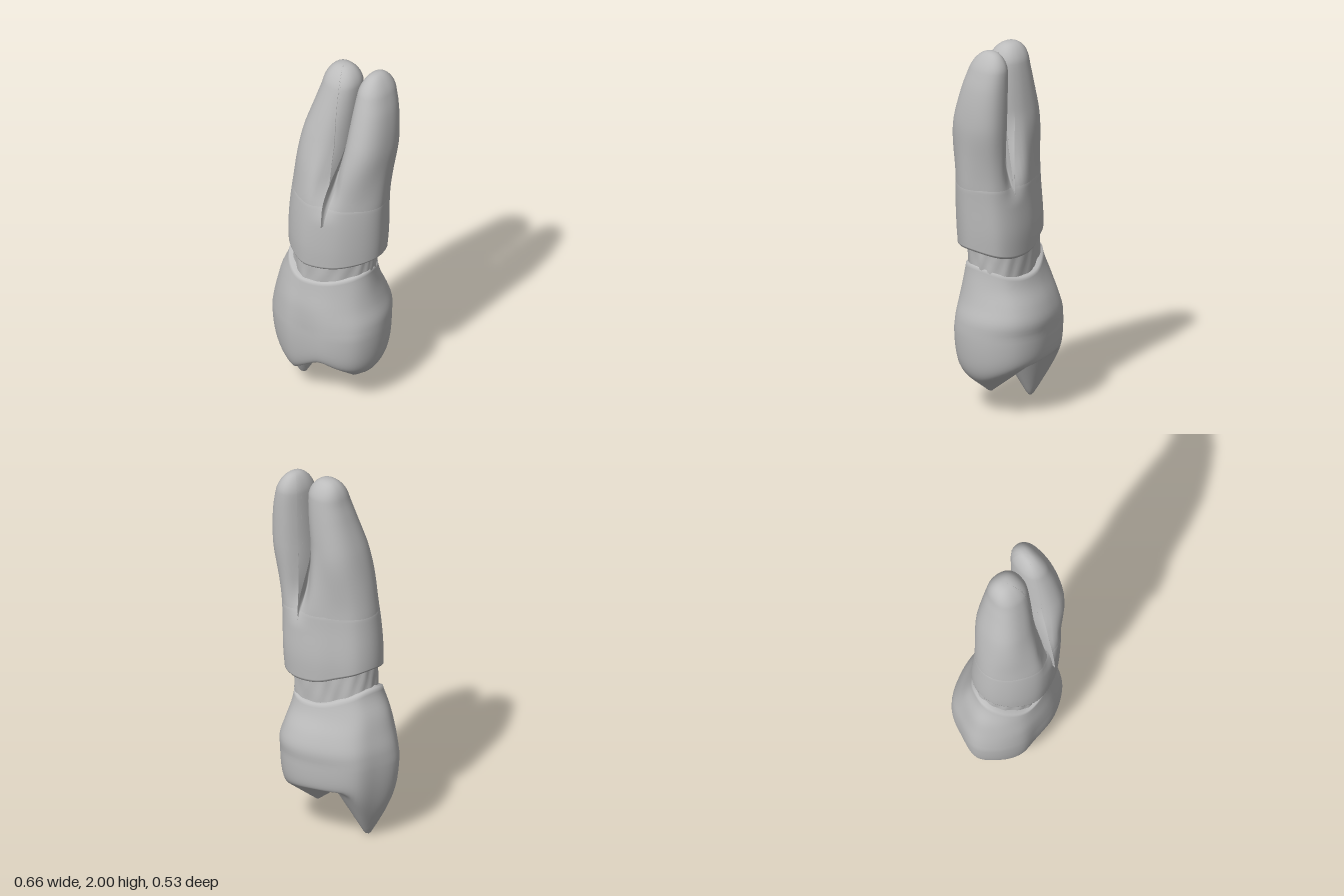
import * as THREE from 'three';

const SEG = 80;
const { lerp, smoothstep } = THREE.MathUtils;

// Closed smooth outline, normalised to -1..1 on both axes
function outline(points) {
  const curve = new THREE.CatmullRomCurve3(points.map(([x, z]) => new THREE.Vector3(x, 0, z)), true);
  const pts = Array.from({ length: SEG }, (_, j) => curve.getPoint(j / SEG));
  const box = new THREE.Box3().setFromPoints(pts);
  const c = box.getCenter(new THREE.Vector3());
  const s = box.getSize(new THREE.Vector3()).multiplyScalar(0.5);
  return pts.map((p) => [(p.x - c.x) / s.x, (p.z - c.z) / s.z]);
}

// Rows of [y, xMin, xMax, zMin, zMax] become smooth centre and half sizes at any y
function sections(rows) {
  const spline = new THREE.CubicInterpolant(rows.map((r) => r[0]), rows.flatMap((r) => r.slice(1)), 4);
  return (y) => {
    const [a, b, c, d] = spline.evaluate(y);
    return { cx: (a + b) / 2, cz: (c + d) / 2, rx: (b - a) / 2, rz: (d - c) / 2 };
  };
}

// Skin over closed rings listed from the bottom up
function loft(name, rings, material) {
  const index = [];
  for (let i = 0; i < rings.length - 1; i++) {
    for (let j = 0; j < SEG; j++) {
      const k = (j + 1) % SEG;
      const a = i * SEG + j, b = i * SEG + k, c = a + SEG, d = b + SEG;
      index.push(a, c, b, b, c, d);
    }
  }
  const geo = new THREE.BufferGeometry();
  geo.setAttribute('position', new THREE.Float32BufferAttribute(rings.flat(2), 3));
  geo.setIndex(index);
  geo.computeVertexNormals();
  const mesh = new THREE.Mesh(geo, material);
  mesh.name = name;
  return mesh;
}

const smin = (a, b, k) => {
  const h = Math.max(k - Math.abs(a - b), 0) / k;
  return Math.min(a, b) - h * h * k * 0.25;
};
const smax = (a, b, k) => -smin(-a, -b, k);

const crownShape = outline([
  [0.285, 0], [0.25, 0.13], [0.13, 0.22], [-0.02, 0.25], [-0.12, 0.262], [-0.25, 0.21], [-0.33, 0.12],
  [-0.315, -0.02], [-0.275, -0.135], [-0.12, -0.23], [0.04, -0.265], [0.16, -0.235], [0.25, -0.14],
]);
const rootShape = outline([
  [0.33, 0], [0.3, 0.09], [0.2, 0.2], [0.04, 0.26], [-0.05, 0.25], [-0.15, 0.2], [-0.22, 0.12],
  [-0.235, 0.03], [-0.2, -0.06], [-0.1, -0.13], [0, -0.18], [0.15, -0.2], [0.25, -0.17], [0.31, -0.08],
]);

// Wavy edges of the crown and the root sleeve
const angle = (j) => (j / SEG) * Math.PI * 2;
const crownEdge = (j) => 0.79 + 0.035 * Math.cos(2 * angle(j)) - 0.018 * Math.cos(angle(j));
const sleeveEdge = (j) => 0.9 + 0.03 * Math.cos(2 * angle(j)) - 0.02 * Math.cos(angle(j));

// Chewing surface: cones for the cusps around a shallow basin
const CUSPS = [[-0.2, 0.04, -0.03, 1.75], [-0.12, 0.19, 0.14, 0.7], [0.12, 0.0, 0.1, 0.8]];
function biteHeight(x, z) {
  let h = 0.3;
  for (const [cx, cz, y, slope] of CUSPS) h = smin(h, y + slope * Math.hypot(x - cx, z - cz), 0.04);
  return h;
}

function crown(material) {
  const at = sections([
    [0.45, -0.33, 0.285, -0.257, 0.265], [0.52, -0.323, 0.28, -0.262, 0.265], [0.6, -0.305, 0.257, -0.238, 0.26],
    [0.7, -0.28, 0.235, -0.19, 0.242], [0.8, -0.24, 0.22, -0.165, 0.225], [0.88, -0.225, 0.22, -0.16, 0.215],
  ]);
  const rings = [];
  const base = at(0.45);
  for (let i = 0; i <= 36; i++) {
    const k = Math.sin((i / 36) * Math.PI / 2);
    const wall = 0.45 * (1 - Math.sqrt((1 - k) / 0.35));
    rings.push(crownShape.map(([u, v]) => {
      const x = base.cx + u * base.rx * k, z = base.cz + v * base.rz * k;
      return [x, Math.max(0, smax(biteHeight(x, z), wall, 0.09)), z];
    }));
  }
  for (let i = 1; i <= 17; i++) {
    const t = Math.min(i / 16, 1);
    const inset = i === 17 ? 0.82 : 1;
    rings.push(crownShape.map(([u, v], j) => {
      const y = lerp(0.45, crownEdge(j), t), s = at(y);
      const [p, q] = rootShape[j];
      return [s.cx + lerp(u, p, t * 0.7) * s.rx * inset, y + (i === 17 ? 0.005 : 0), s.cz + lerp(v, q, t * 0.7) * s.rz * inset];
    }));
  }
  return loft('crown', rings, material);
}

// Rough band between crown and root
function neck(material) {
  const rings = [];
  for (let i = 0; i <= 6; i++) {
    rings.push(rootShape.map(([u, v], j) => {
      const r = 0.975 + 0.01 * Math.sin(j * 1.3 + i) + 0.01 * Math.sin(j * 0.7 - i * 0.8);
      return [0.008 * i / 6 + u * 0.222 * r, lerp(crownEdge(j) - 0.04, sleeveEdge(j) + 0.04, i / 6), 0.028 + v * 0.192 * r];
    }));
  }
  return loft('neck', rings, material);
}

// Shared surface of the trunk, grooved towards the fork
const SEAM = 0.107;
const trunkAt = sections([
  [0.84, -0.23, 0.275, -0.18, 0.25], [1.0, -0.235, 0.29, -0.187, 0.256], [1.2, -0.222, 0.303, -0.177, 0.245],
  [1.4, -0.2, 0.315, -0.177, 0.215], [1.6, -0.165, 0.326, -0.187, 0.165],
]);
function trunkPoint([u, v], y, k) {
  const s = trunkAt(y);
  const x = s.cx + u * s.rx * k;
  const pinch = 1 - 0.35 * smoothstep(y, 1.15, 1.42) * Math.exp(-(((x - SEAM) / 0.05) ** 2));
  return [x, y, s.cz + v * s.rz * k * pinch];
}

function trunk(material) {
  const rings = [];
  rings.push(rootShape.map((p, j) => trunkPoint(p, sleeveEdge(j) + 0.012, 0.74)));
  rings.push(rootShape.map((p, j) => trunkPoint(p, sleeveEdge(j) + 0.002, 0.97)));
  for (let i = 0; i <= 32; i++) {
    rings.push(rootShape.map((p, j) => {
      const y = lerp(sleeveEdge(j) + 0.012 * (i === 0), 1.42, i / 32);
      return trunkPoint(p, y, Math.sqrt(Math.max(0, 1 - smoothstep(y, 1.25, 1.42))));
    }));
  }
  return loft('rootTrunk', rings, material);
}

// One root: starts as its side of the trunk, becomes a rounded oval and tapers to a domed end
function root(name, side, rows, material) {
  const at = sections(rows);
  const start = 1.15, shoulder = 1.9;
  const rings = [];
  const ring = (y, k) => {
    const s = at(y), w = smoothstep(y, 1.25, 1.65);
    rings.push(rootShape.map((p) => {
      const [tx, , tz] = trunkPoint(p, y, lerp(0.985, 1, smoothstep(y, 1.15, 1.28)));
      const x = side > 0 ? Math.max(tx, SEAM + 0.004) : Math.min(tx, SEAM - 0.004);
      const a = Math.atan2((tz - s.cz) / s.rz, (x - s.cx) / s.rx);
      const c = Math.cos(a), n = Math.sin(a);
      const f = 1 / (Math.abs(c) ** 2.3 + Math.abs(n) ** 2.3) ** (1 / 2.3);
      return [
        lerp(x, s.cx + c * f * s.rx * k, w), y, lerp(tz, s.cz + n * f * s.rz * k, w),
      ];
    }));
  };
  for (let i = 0; i <= 40; i++) ring(lerp(start, shoulder, i / 40), 1);
  for (let i = 1; i <= 14; i++) {
    const a = (i / 14) * Math.PI / 2;
    ring(lerp(shoulder, 2, Math.sin(a)), Math.max(0, Math.cos(a)) ** 0.8);
  }
  return loft(name, rings, material);
}

export function createModel() {
  const model = new THREE.Group();
  model.name = 'tooth';
  const enamel = new THREE.MeshStandardMaterial({ color: 0xbcbcbc });
  enamel.name = 'grey';
  model.add(
    crown(enamel),
    neck(enamel),
    trunk(enamel),
    root('rightRoot', -1, [
      [1.15, -0.225, 0.103, -0.15, 0.245], [1.4, -0.2, 0.103, -0.14, 0.213], [1.6, -0.165, 0.108, -0.14, 0.16],
      [1.8, -0.11, 0.117, -0.135, 0.102], [1.9, -0.084, 0.117, -0.128, 0.072], [2, -0.075, 0.105, -0.115, 0.04],
    ], enamel),
    root('leftRoot', 1, [
      [1.15, 0.111, 0.3, -0.175, 0.2], [1.4, 0.111, 0.316, -0.177, 0.178], [1.6, 0.115, 0.327, -0.187, 0.13],
      [1.8, 0.122, 0.31, -0.192, 0.07], [1.9, 0.128, 0.285, -0.19, 0.035], [2, 0.14, 0.255, -0.18, 0.0],
    ], enamel),
  );
  return model;
}
